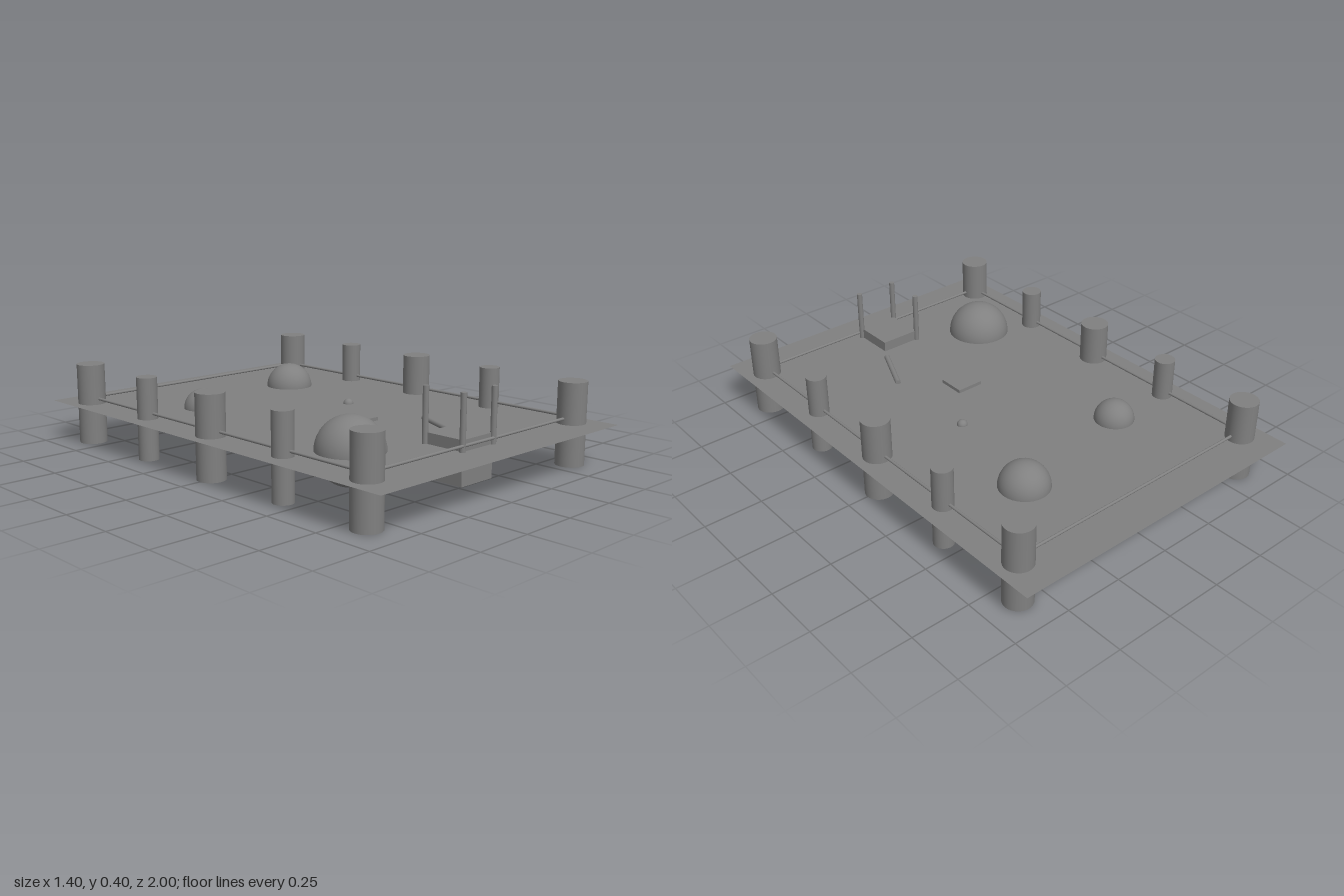
import * as THREE from 'three';

export function createModel() {
  const group = new THREE.Group();
  const mat = new THREE.MeshStandardMaterial({ color: 0x808080 });
  const sheetMat = new THREE.MeshStandardMaterial({ color: 0x808080, side: THREE.DoubleSide });
  const MID = 0.175; // floor level, halfway up the posts

  const add = (name, geometry, x, y, z, material = mat) => {
    const mesh = new THREE.Mesh(geometry, material);
    mesh.name = name;
    mesh.position.set(x, y, z);
    group.add(mesh);
    return mesh;
  };
  const ball = (name, r, x, z) => add(name, new THREE.SphereGeometry(r, 32, 24), x, MID, z);

  // Round bar between two points
  const bar = (name, r, from, to) => {
    const a = new THREE.Vector3(...from), b = new THREE.Vector3(...to);
    const dir = b.clone().sub(a);
    const mid = a.clone().add(b).multiplyScalar(0.5);
    const mesh = add(name, new THREE.CylinderGeometry(r, r, dir.length(), 16), mid.x, mid.y, mid.z);
    mesh.quaternion.setFromUnitVectors(new THREE.Vector3(0, 1, 0), dir.normalize());
  };

  // Thin floor sheet
  add('floor', new THREE.PlaneGeometry(1.4, 2).rotateX(-Math.PI / 2), 0, MID, 0, sheetMat);

  // Fence posts: thick at corners and middle, thinner between
  const posts = [[-0.843, 0.06], [-0.42, 0.043], [0, 0.06], [0.42, 0.043], [0.843, 0.06]];
  for (const side of [-1, 1]) {
    for (const [z, r] of posts) {
      add('post', new THREE.CylinderGeometry(r, r, 0.35, 32), side * 0.6, MID, z);
    }
    // Rails along the sides and ends
    bar('sideRail', 0.006, [side * 0.6, 0.2, -0.843], [side * 0.6, 0.2, 0.843]);
    bar('endRail', 0.006, [-0.6, 0.2, side * 0.843], [0.6, 0.2, side * 0.843]);
  }

  // Half-sunk boulders and a small ball
  ball('largeBoulder', 0.137, -0.369, 0.535);
  ball('mediumBoulder', 0.105, 0.288, -0.525);
  ball('smallBoulder', 0.085, -0.308, -0.418);
  ball('smallBall', 0.022, 0.203, -0.045);

  // Sunken crate, and a block with three upright rods
  add('crate', new THREE.BoxGeometry(0.12, 0.12, 0.12), 0, 0.13, 0.21);
  add('block', new THREE.BoxGeometry(0.18, 0.18, 0.18), 0, 0.13, 0.746);
  for (const [x, z] of [[-0.091, 0.656], [-0.091, 0.837], [0.091, 0.837]]) {
    bar('uprightRod', 0.012, [x, 0.158, z], [x, 0.4, z]);
  }

  // Loose stick lying level on the floor
  bar('stick', 0.012, [0.12, 0.181, 0.6], [0.215, 0.181, 0.385]);

  return group;
}
